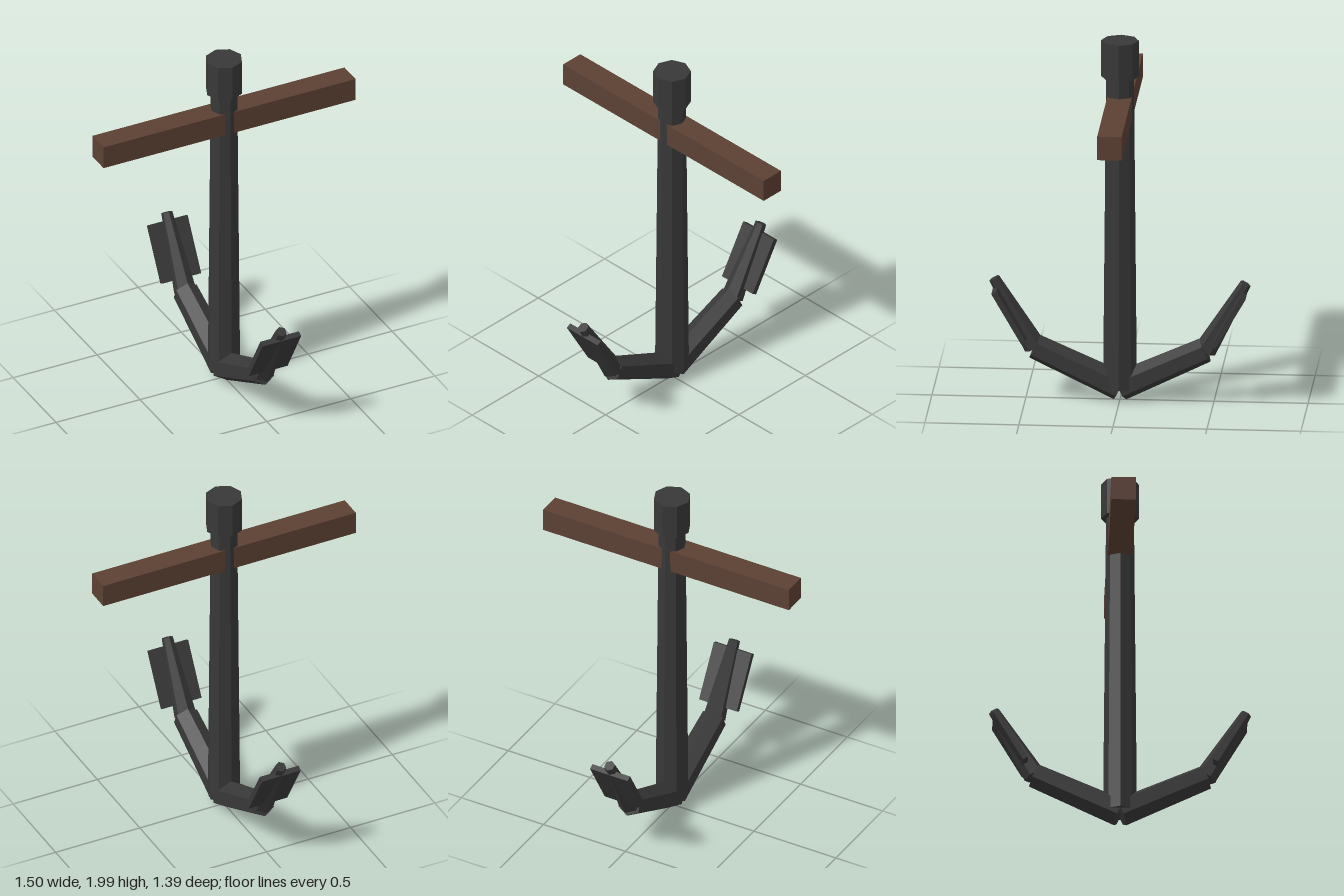
import * as THREE from 'three';

export function createModel() {
  const iron = new THREE.MeshStandardMaterial({ color: 0x383838, flatShading: true });
  iron.name = 'darkIron';
  const wood = new THREE.MeshStandardMaterial({ color: 0x5c4033, flatShading: true });
  wood.name = 'brownWood';

  const model = new THREE.Group();
  model.name = 'anchor';

  function add(parent, name, geometry, material, x = 0, y = 0, z = 0) {
    const mesh = new THREE.Mesh(geometry, material);
    mesh.name = name;
    mesh.position.set(x, y, z);
    parent.add(mesh);
    return mesh;
  }

  // Upright shank with its head, and the wooden crossbar
  add(model, 'shank', new THREE.CylinderGeometry(0.074, 0.09, 1.74, 8), iron, 0, 0.95, 0);
  add(model, 'head', new THREE.CylinderGeometry(0.1, 0.1, 0.2, 8), iron, 0, 1.9, 0);
  add(model, 'stock', new THREE.BoxGeometry(1.5, 0.13, 0.13), wood, 0, 1.63, 0);

  // Group whose local y axis climbs outward (+z) at the given angle
  function limb(parent, name, degrees, y, z) {
    const group = new THREE.Group();
    group.name = name;
    group.position.set(0, y, z);
    group.rotation.x = THREE.MathUtils.degToRad(90 - degrees);
    parent.add(group);
    return group;
  }

  // Two hooked arms, front and back
  for (const [side, turn] of [['front', 0], ['back', Math.PI]]) {
    const hook = new THREE.Group();
    hook.name = side + 'Hook';
    hook.rotation.y = turn;
    model.add(hook);

    const lower = limb(hook, side + 'LowerArm', 25, 0.08, 0);
    add(lower, side + 'Arm', new THREE.CylinderGeometry(0.07, 0.08, 0.5, 6), iron, 0, 0.25, 0);

    const upper = limb(hook, side + 'UpperArm', 60, 0.291, 0.453);
    add(upper, side + 'Bill', new THREE.CylinderGeometry(0.03, 0.06, 0.432, 6), iron, 0, 0.216, 0);
    add(upper, side + 'Fluke', new THREE.BoxGeometry(0.23, 0.318, 0.03), iron, 0, 0.228, 0.019);
  }

  return model;
}
